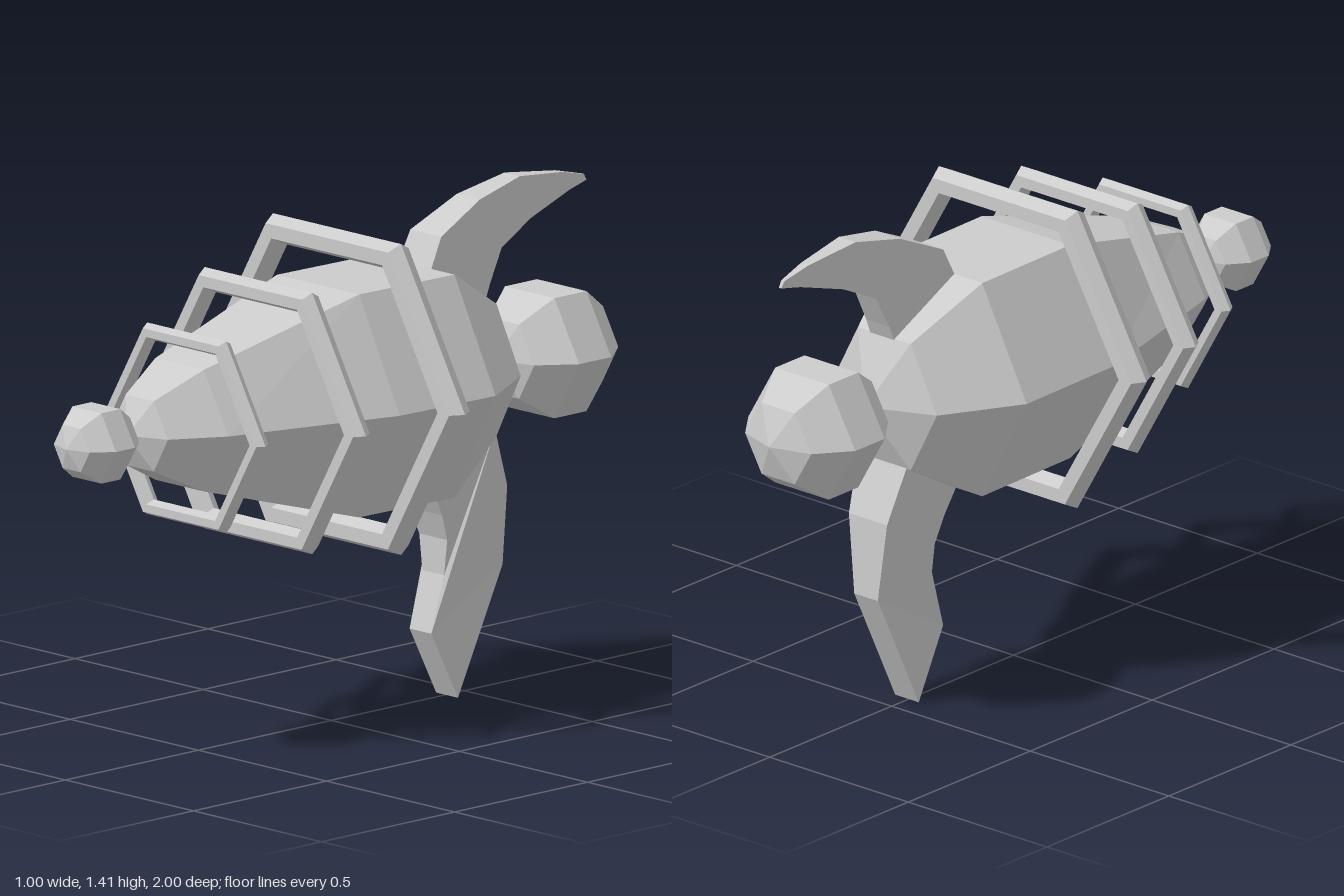
import * as THREE from 'three';

const material = new THREE.MeshStandardMaterial({ color: 0xcccccc, flatShading: true });

function addPart(group, name, geometry, x = 0, y = 0, z = 0) {
  const mesh = new THREE.Mesh(geometry, material);
  mesh.name = name;
  mesh.position.set(x, y, z);
  group.add(mesh);
  return mesh;
}

// Move every vertex by a rule and refresh the normals
function reshape(geometry, rule) {
  const pos = geometry.attributes.position;
  const v = new THREE.Vector3();
  for (let i = 0; i < pos.count; i++) {
    rule(v.fromBufferAttribute(pos, i));
    pos.setXYZ(i, v.x, v.y, v.z);
  }
  geometry.computeVertexNormals();
  return geometry;
}

// Plate with an outline in (z, y), its thickness along x set by halfWidth(z, y)
function taperedPlate(outline, halfWidth) {
  const shape = new THREE.Shape(outline.map(([z, y]) => new THREE.Vector2(z, y)));
  const geometry = new THREE.ExtrudeGeometry(shape, { depth: 2, bevelEnabled: false });
  geometry.translate(0, 0, -1).rotateY(-Math.PI / 2);
  return reshape(geometry, (v) => { v.x *= halfWidth(v.z, v.y); });
}

// Six-sided ball with its poles on the z axis
function ball(radius, halfLength) {
  return new THREE.SphereGeometry(radius, 6, 5).rotateX(Math.PI / 2).scale(1, 1, halfLength / radius);
}

export function createModel() {
  const model = new THREE.Group();
  model.name = 'rayGun';

  // Hexagonal body, slightly taller toward the back
  const profile = [[0, -0.61], [0.19, -0.53], [0.32, -0.31], [0.32, 0.05], [0.19, 0.57], [0.11, 0.72], [0, 0.77]];
  const body = new THREE.LatheGeometry(profile.map(([r, z]) => new THREE.Vector2(r, z)), 6, Math.PI / 2);
  body.rotateX(Math.PI / 2);
  reshape(body, (v) => {
    v.y *= 1.03 + 0.09 * THREE.MathUtils.clamp((0.57 - v.z) / 0.52, 0, 1);
    v.y += 0.911 + 0.012 * v.z;
  });
  addPart(model, 'body', body);

  // Muzzle ball and rear ball
  addPart(model, 'muzzleBall', ball(0.119, 0.115), 0.002, 0.92, 0.885);
  addPart(model, 'rearBall', ball(0.203, 0.195), 0.002, 0.902, -0.805);

  // Floating hexagonal rings: outer radius, tube radius, x, y, z
  const rings = [
    ['largeRing', 0.5, 0.045, 0, 0.933, -0.022],
    ['middleRing', 0.42, 0.036, 0.02, 0.915, 0.293],
    ['smallRing', 0.308, 0.026, 0.02, 0.912, 0.563],
  ];
  for (const [name, outer, tube, x, y, z] of rings) {
    addPart(model, name, new THREE.TorusGeometry(outer - tube, tube, 6, 6), x, y, z);
  }

  // Swept top fin, thinning to a point at the back
  const fin = [
    [-0.3, 1.2], [-0.35, 1.3], [-0.51, 1.375], [-0.675, 1.41], [-0.85, 1.39], [-0.94, 1.368],
    [-0.95, 1.35], [-0.88, 1.335], [-0.72, 1.285], [-0.6, 1.225], [-0.55, 1.13], [-0.525, 1.07],
  ];
  addPart(model, 'topFin', taperedPlate(fin, (z) => 0.065 + (z + 0.3) * 0.093), 0.006);

  // Curved grip, wider where it meets the body
  const grip = [
    [-0.3, 0.62], [-0.35, 0.525], [-0.378, 0.45], [-0.378, 0.35], [-0.33, 0.195], [-0.43, 0],
    [-0.598, 0.345], [-0.59, 0.57], [-0.525, 0.74],
  ];
  addPart(model, 'grip', taperedPlate(grip, (z, y) => 0.0425 + Math.max(0, y - 0.35) * 0.12), 0.006);

  return model;
}
